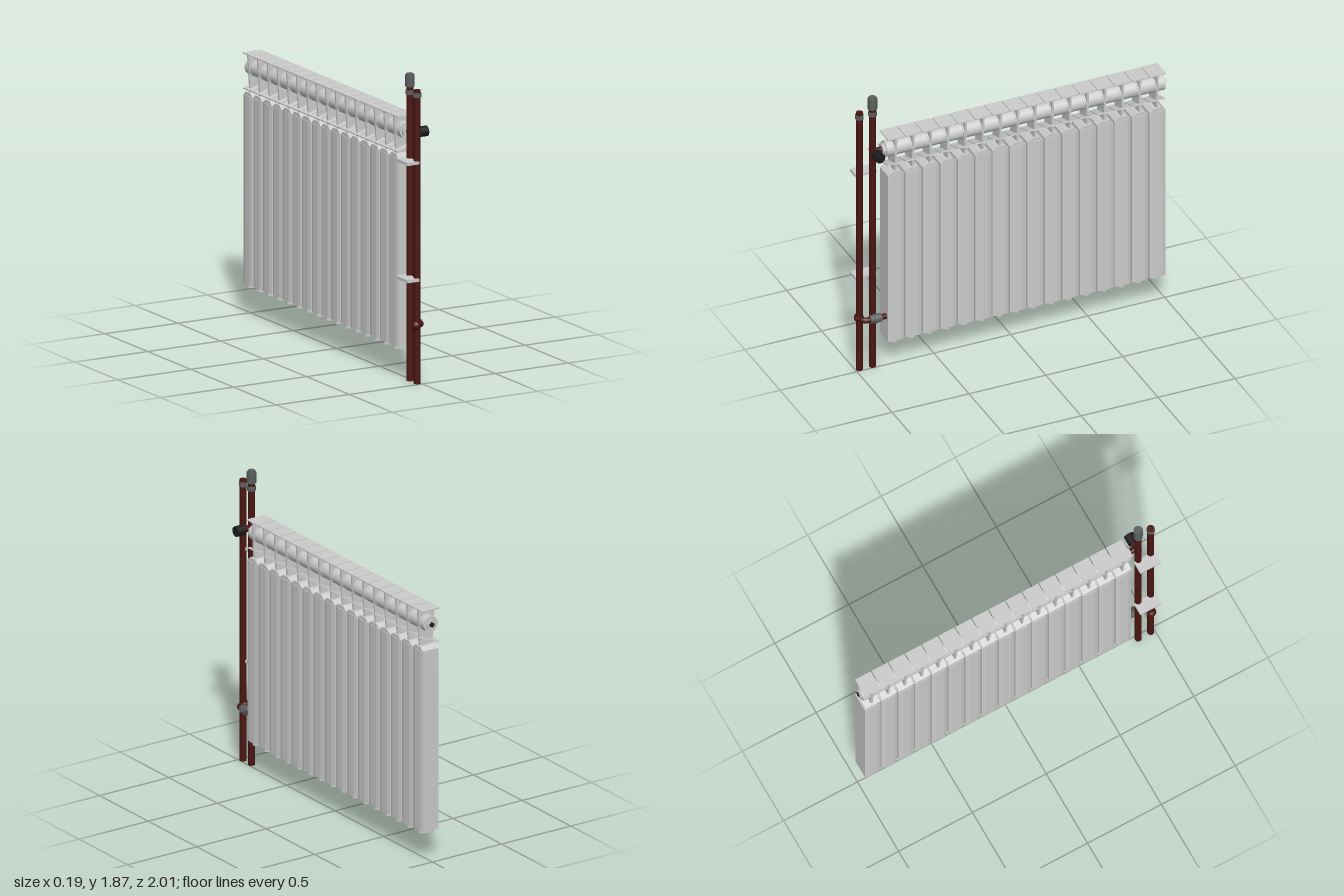
import * as THREE from 'three';

const grey = new THREE.MeshStandardMaterial({ color: 0xcccccc, side: THREE.DoubleSide });
const red = new THREE.MeshStandardMaterial({ color: 0x4a1512 });
const black = new THREE.MeshStandardMaterial({ color: 0x1c1c1c });
const dark = new THREE.MeshStandardMaterial({ color: 0x5c5f5f });

function add(parent, name, geometry, material, x = 0, y = 0, z = 0) {
  const mesh = new THREE.Mesh(geometry, material);
  mesh.name = name;
  mesh.position.set(x, y, z);
  parent.add(mesh);
  return mesh;
}

// Cylinder along the chosen axis, centred on its position
function rod(parent, name, axis, r, length, material, x, y, z, sides = 24) {
  const g = new THREE.CylinderGeometry(r, r, length, sides);
  if (axis === 'x') g.rotateZ(Math.PI / 2);
  if (axis === 'z') g.rotateX(Math.PI / 2);
  return add(parent, name, g, material, x, y, z);
}

function polygon(points) {
  return new THREE.Shape(points.map(([a, b]) => new THREE.Vector2(a, b)));
}

const extrude = (shape, depth) =>
  new THREE.ExtrudeGeometry(shape, { depth, bevelEnabled: false, curveSegments: 10 });

// Plan of a column: slightly bevelled broad faces
const bodyGeo = extrude(polygon([
  [-0.058, -0.052], [0.055, -0.052], [0.061, -0.028], [0.061, 0.028],
  [0.055, 0.052], [-0.058, 0.052], [-0.064, 0.028], [-0.064, -0.028],
]), 1.15).rotateX(-Math.PI / 2);

// Shoulder with sloping corners, running across the column
const shoulderGeo = extrude(polygon([
  [-0.052, 0], [0.052, 0], [0.026, 0.022], [-0.026, 0.022],
]), 0.117).rotateY(Math.PI / 2).translate(-0.06, 0, 0);

// Oval collar under a column
const oval = new THREE.Shape().absellipse(0, 0, 0.055, 0.03, 0, Math.PI * 2);
oval.holes.push(new THREE.Path().absellipse(0, 0, 0.043, 0.019, 0, Math.PI * 2));
const footGeo = extrude(oval, 0.022).rotateX(-Math.PI / 2);

// Upright web carrying the header and the grille
const webGeo = extrude(polygon([
  [-0.045, 0], [0.045, 0], [0.05, 0.06], [0.052, 0.14], [0.058, 0.235],
  [-0.062, 0.235], [-0.055, 0.14], [-0.05, 0.06],
]), 0.014).translate(0, 0, -0.007);

function createSection(z) {
  const section = new THREE.Group();
  section.name = 'radiatorSection';
  section.position.z = z;
  add(section, 'column', bodyGeo, grey, 0, 0.195, 0);
  add(section, 'shoulder', shoulderGeo, grey, 0, 1.345, 0);
  add(section, 'foot', footGeo, grey, -0.004, 0.175, 0);
  add(section, 'web', webGeo, grey, 0, 1.362, 0);
  add(section, 'topGrille', new THREE.BoxGeometry(0.125, 0.007, 0.106), grey, -0.002, 1.597, 0);
  // Slanted louvre, higher on the room side
  const louvre = add(section, 'louvre', new THREE.BoxGeometry(0.128, 0.006, 0.102), grey, -0.002, 1.403, 0);
  louvre.rotation.z = 0.33;
  rod(section, 'headerCollar', 'z', 0.053, 0.03, grey, 0, 1.508, 0, 20);
  return section;
}

function createRiser(name, z, height) {
  const riser = new THREE.Group();
  riser.name = name;
  rod(riser, 'pipe', 'y', 0.021, height, red, -0.02, height / 2, z);
  rod(riser, 'collar', 'y', 0.026, 0.028, dark, -0.02, 1.76, z, 12);
  return riser;
}

// Wall bracket with a notch for each pipe
function bracketGeometry() {
  const s = new THREE.Shape();
  s.moveTo(-0.1, -0.07);
  s.lineTo(-0.02, -0.07);
  for (const z of [-0.045, 0.04]) {
    s.lineTo(-0.02, z - 0.021);
    s.absarc(-0.02, z, 0.021, -Math.PI / 2, Math.PI / 2, true);
  }
  s.lineTo(-0.02, 0.07);
  s.lineTo(-0.1, 0.07);
  // Shape's second axis becomes -z
  return extrude(s, 0.018).rotateX(-Math.PI / 2);
}

export function createModel() {
  const model = new THREE.Group();
  model.name = 'radiator';

  // Sixteen equal sections
  const first = 0.77, pitch = 0.1133, count = 16;
  for (let i = 0; i < count; i++) model.add(createSection(first - i * pitch));

  // Header pipe with end fittings
  rod(model, 'header', 'z', 0.05, 1.81, grey, 0, 1.508, -0.08);
  rod(model, 'headerNut', 'z', 0.04, 0.02, grey, 0, 1.508, 0.833, 6);
  rod(model, 'endBush', 'z', 0.036, 0.008, grey, 0, 1.508, -0.988, 6);
  rod(model, 'endPlug', 'z', 0.016, 0.012, black, 0, 1.508, -0.994, 6);

  // Two risers, the inner one with an air vent
  const inner = createRiser('innerRiser', 0.89, 1.8);
  const outer = createRiser('outerRiser', 0.975, 1.79);
  rod(inner, 'ventCap', 'y', 0.029, 0.07, dark, -0.02, 1.83, 0.89, 16);
  rod(inner, 'ventTip', 'y', 0.022, 0.01, dark, -0.02, 1.869, 0.89, 16);
  model.add(inner, outer);

  // Top valve and knob
  const valve = new THREE.Group();
  valve.name = 'valve';
  rod(valve, 'inlet', 'z', 0.018, 0.07, red, 0, 1.508, 0.86);
  rod(valve, 'stem', 'x', 0.02, 0.07, red, 0.005, 1.508, 0.89);
  rod(valve, 'knob', 'x', 0.032, 0.06, black, 0.065, 1.508, 0.89, 16);
  model.add(valve);

  // Lower return pipe, curving around the inner riser
  const bend = new THREE.CurvePath();
  const v = (x, z) => new THREE.Vector3(x, 0.355, z);
  bend.add(new THREE.LineCurve3(v(-0.03, 0.97), v(-0.015, 0.97)));
  bend.add(new THREE.QuadraticBezierCurve3(v(-0.015, 0.97), v(0.022, 0.97), v(0.022, 0.93)));
  bend.add(new THREE.LineCurve3(v(0.022, 0.93), v(0.022, 0.81)));
  const returnPipe = new THREE.Group();
  returnPipe.name = 'returnPipe';
  add(returnPipe, 'bend', new THREE.TubeGeometry(bend, 40, 0.018, 16), red);
  rod(returnPipe, 'union', 'z', 0.026, 0.07, dark, 0.022, 0.355, 0.89, 8);
  rod(returnPipe, 'unionRing', 'z', 0.03, 0.022, dark, 0.022, 0.355, 0.89, 8);
  add(returnPipe, 'tee', new THREE.SphereGeometry(0.03, 16, 12), red, -0.027, 0.355, 0.975);
  rod(returnPipe, 'screw', 'x', 0.008, 0.03, dark, 0.045, 0.355, 0.89, 8);
  model.add(returnPipe);

  // Wall brackets
  const bracketGeo = bracketGeometry();
  for (const y of [0.626, 1.341]) add(model, 'wallBracket', bracketGeo, grey, 0, y, 0.93);

  return model;
}
